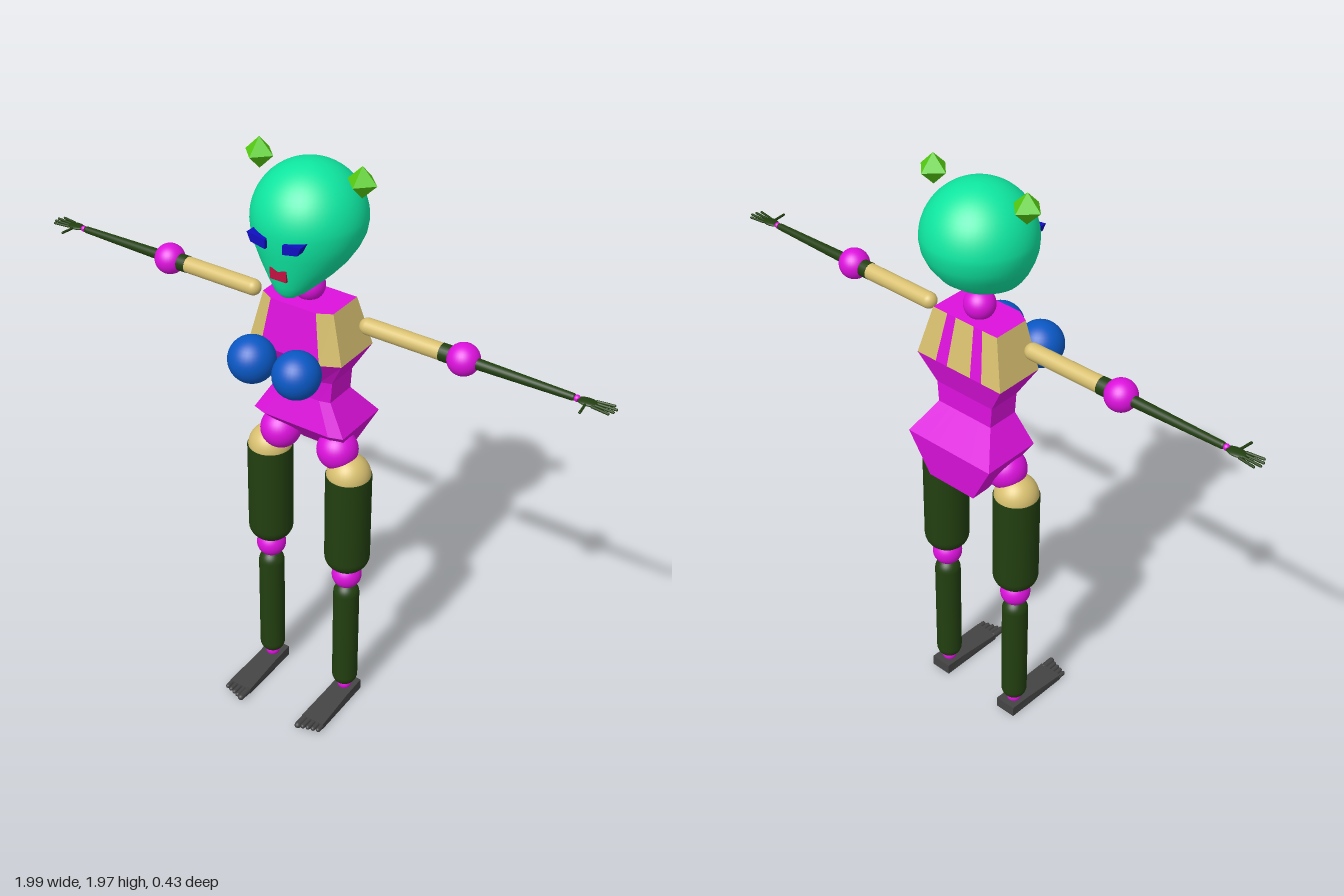
import * as THREE from 'three';

const mat = (color, extra = {}) => new THREE.MeshStandardMaterial({ color, ...extra });
const MAGENTA = mat(0xdd11dd), TAN = mat(0xd8c070), GREEN = mat(0x223f10), HEAD = mat(0x0ee6a0);
const BLUE = mat(0x0a58c4), EYE = mat(0x1010c0), LIP = mat(0xc01040), GREY = mat(0x444444);
const LIME = mat(0x55cc11, { flatShading: true });
const FLAT_MAGENTA = mat(0xdd11dd, { flatShading: true, side: THREE.DoubleSide });
const FLAT_TAN = mat(0xd8c070, { flatShading: true, side: THREE.DoubleSide });
const Z = -0.04; // depth of the body axis

function add(parent, name, geometry, material, x = 0, y = 0, z = 0) {
  const m = new THREE.Mesh(geometry, material);
  m.name = name;
  m.position.set(x, y, z);
  parent.add(m);
  return m;
}

const ball = (r) => new THREE.SphereGeometry(r, 32, 20);

// Skin between closed rings of [x, y, z]; keep(i) picks which columns are built
function loft(rings, keep = () => true, caps = true) {
  const n = rings[0].length, pos = rings.flat(2), idx = [];
  for (let r = 0; r < rings.length - 1; r++)
    for (let i = 0; i < n; i++) {
      if (!keep(i)) continue;
      const a = r * n + i, b = r * n + (i + 1) % n;
      idx.push(a, b, b + n, a, b + n, a + n);
    }
  if (caps) {
    const top = (rings.length - 1) * n;
    for (let i = 1; i < n - 1; i++) idx.push(0, i + 1, i, top, top + i, top + i + 1);
  }
  const g = new THREE.BufferGeometry();
  g.setAttribute('position', new THREE.Float32BufferAttribute(pos, 3));
  g.setIndex(idx);
  g.computeVertexNormals();
  return g;
}

// Round head on top, drawn forward and down to a narrow chin
function headGeometry() {
  const levels = [ // y, half width, back z, front z
    [1.558, 0.004, 0.068, 0.076], [1.563, 0.025, 0.045, 0.088], [1.58, 0.052, 0.0, 0.102],
    [1.605, 0.08, -0.07, 0.109], [1.63, 0.105, -0.12, 0.114], [1.66, 0.13, -0.16, 0.12],
    [1.7, 0.154, -0.191, 0.127], [1.735, 0.168, -0.207, 0.132]];
  for (let k = 0; k <= 16; k++) {
    const t = k / 16 * Math.PI / 2, c = Math.max(0.173 * Math.cos(t), 0.001);
    levels.push([1.77 + 0.173 * Math.sin(t), c, Z - c, Z + c]);
  }
  return loft(levels.map(([y, w, b, f]) => {
    const ring = [];
    for (let i = 0; i < 48; i++) {
      const a = i / 48 * Math.PI * 2;
      ring.push([w * Math.sin(a), y, (f + b) / 2 + (f - b) / 2 * Math.cos(a)]);
    }
    return ring;
  }));
}

// Torso section: narrow front panel, chamfered sides, back split for the straps
function section(y, xf, x, zf, zs, zb) {
  const half = [[xf, zf], [x, zs], [x, zb], [x * 0.55, zb], [x * 0.28, zb]];
  return [...half.map(([a, z]) => [a, y, z]), ...half.reverse().map(([a, z]) => [-a, y, z])];
}

function buildTorso(g) {
  const chest = section(1.355, 0.105, 0.165, 0.065, 0.035, -0.135);
  const shoulders = section(1.515, 0.08, 0.125, 0.045, 0.02, -0.105);
  const magentaColumns = [3, 5, 9];
  add(g, 'bodicePanels', loft([chest, shoulders], (i) => magentaColumns.includes(i)), FLAT_MAGENTA);
  add(g, 'bareChest', loft([chest, shoulders], (i) => !magentaColumns.includes(i), false), FLAT_TAN);
  add(g, 'waistAndHips', loft([
    section(0.95, 0.06, 0.09, -0.1, -0.105, -0.172),
    section(1.09, 0.12, 0.165, 0.035, 0.02, -0.183),
    section(1.19, 0.07, 0.105, 0.01, 0.0, -0.11),
    section(1.26, 0.075, 0.11, 0.012, 0.0, -0.11),
    chest]), FLAT_MAGENTA);
}

// Hand pointing along +x, with four fingers and a thumb
function buildHand(g) {
  const hand = new THREE.Group();
  hand.name = 'hand';
  hand.position.set(0.885, 1.473, Z);
  add(hand, 'palm', new THREE.SphereGeometry(1, 16, 10), GREEN, 0.025, 0, 0).scale.set(0.032, 0.007, 0.02);
  const finger = (name, x, z, angle, length) => {
    const m = add(hand, name, new THREE.CapsuleGeometry(0.004, length, 4, 8), GREEN,
      x + Math.cos(angle) * length / 2, 0, z + Math.sin(angle) * length / 2);
    m.rotation.set(0, -angle, -Math.PI / 2, 'YXZ');
  };
  [0.05, 0.062, 0.06, 0.052].forEach((len, i) =>
    finger('finger', 0.045, -0.016 + i * 0.0107, (i - 1.5) * 0.09, len));
  finger('thumb', 0.025, 0.012, 1.45, 0.048);
  g.add(hand);
}

function buildArm(g) {
  const along = (m) => { m.rotation.z = -Math.PI / 2; return m; };
  along(add(g, 'upperArm', new THREE.CapsuleGeometry(0.026, 0.25, 8, 24), TAN, 0.331, 1.473, Z));
  along(add(g, 'gloveCuff', new THREE.CylinderGeometry(0.027, 0.027, 0.035, 24), GREEN, 0.472, 1.473, Z));
  add(g, 'elbow', ball(0.049), MAGENTA, 0.525, 1.473, Z);
  along(add(g, 'forearm', new THREE.CylinderGeometry(0.011, 0.017, 0.31, 24), GREEN, 0.71, 1.473, Z));
  add(g, 'forearmTip', ball(0.011), GREEN, 0.865, 1.473, Z);
  add(g, 'wrist', ball(0.01), MAGENTA, 0.878, 1.473, Z);
  buildHand(g);
}

// Wedge foot with five toes
function buildFoot(g, x) {
  const side = new THREE.Shape([[-0.085, 0], [0.155, 0], [0.155, 0.02], [0.0, 0.032], [-0.085, 0.038]]
    .map((p) => new THREE.Vector2(...p)));
  const geo = new THREE.ExtrudeGeometry(side, { depth: 0.084, bevelEnabled: false });
  geo.translate(0, 0, -0.042);
  geo.rotateY(-Math.PI / 2);
  // narrow the heel
  const p = geo.attributes.position;
  for (let i = 0; i < p.count; i++) if (p.getZ(i) < 0.05) p.setX(i, p.getX(i) * 0.88);
  geo.computeVertexNormals();
  add(g, 'foot', geo, GREY, x);
  for (let i = 0; i < 5; i++) {
    const len = 0.04 - i * 0.005;
    const r = i ? 0.008 : 0.011;
    const toe = add(g, 'toe', new THREE.CapsuleGeometry(r, len, 4, 10), GREY,
      x - 0.032 + i * 0.0172, 0.011, 0.155 + len / 2);
    toe.rotation.x = Math.PI / 2;
  }
}

function buildLeg(g) {
  const x = 0.15;
  add(g, 'hipJoint', ball(0.066), MAGENTA, 0.107, 1.0, Z);
  add(g, 'upperThigh', new THREE.CapsuleGeometry(0.071, 0.2, 12, 32), TAN, x, 0.82, Z);
  const profile = [];
  for (let i = 0; i <= 8; i++) {
    const a = i / 8 * Math.PI / 2;
    profile.push(new THREE.Vector2(0.074 * Math.sin(a), 0.605 - 0.06 * Math.cos(a)));
  }
  profile.push(new THREE.Vector2(0.074, 0.92), new THREE.Vector2(0.07, 0.921));
  add(g, 'stocking', new THREE.LatheGeometry(profile, 32), GREEN, x, 0, Z);
  add(g, 'knee', ball(0.049), MAGENTA, x, 0.523, Z);
  add(g, 'shin', new THREE.CapsuleGeometry(0.043, 0.355, 10, 32), GREEN, x, 0.268, Z);
  add(g, 'ankle', ball(0.024), MAGENTA, x, 0.045, Z);
  buildFoot(g, x);
}

function buildFace(g) {
  for (const s of [-1, 1]) {
    const eye = new THREE.Shape([[0.03, -0.02], [0.08, -0.01], [0.092, 0.018], [0.03, 0.01]]
      .map(([a, b]) => new THREE.Vector2(a * s, b)));
    add(g, s > 0 ? 'leftEye' : 'rightEye',
      new THREE.ExtrudeGeometry(eye, { depth: 0.035, bevelEnabled: false }), EYE, 0, 1.752, 0.105);
    add(g, s > 0 ? 'leftHairOrnament' : 'rightHairOrnament',
      new THREE.OctahedronGeometry(0.049), LIME, s * 0.175, 1.922, Z);
  }
  add(g, 'mouth', new THREE.BoxGeometry(0.056, 0.036, 0.03), LIP, 0, 1.65, 0.105);
}

export function createModel() {
  const model = new THREE.Group();
  model.name = 'figure';
  add(model, 'head', headGeometry(), HEAD);
  buildFace(model);
  add(model, 'neck', ball(0.049), MAGENTA, 0, 1.548, Z);
  buildTorso(model);
  for (const s of [-1, 1]) {
    const half = new THREE.Group();
    half.name = s > 0 ? 'leftSide' : 'rightSide';
    half.scale.x = s;
    add(half, 'breast', ball(0.074), BLUE, 0.08, 1.355, 0.143);
    buildArm(half);
    buildLeg(half);
    model.add(half);
  }
  return model;
}
